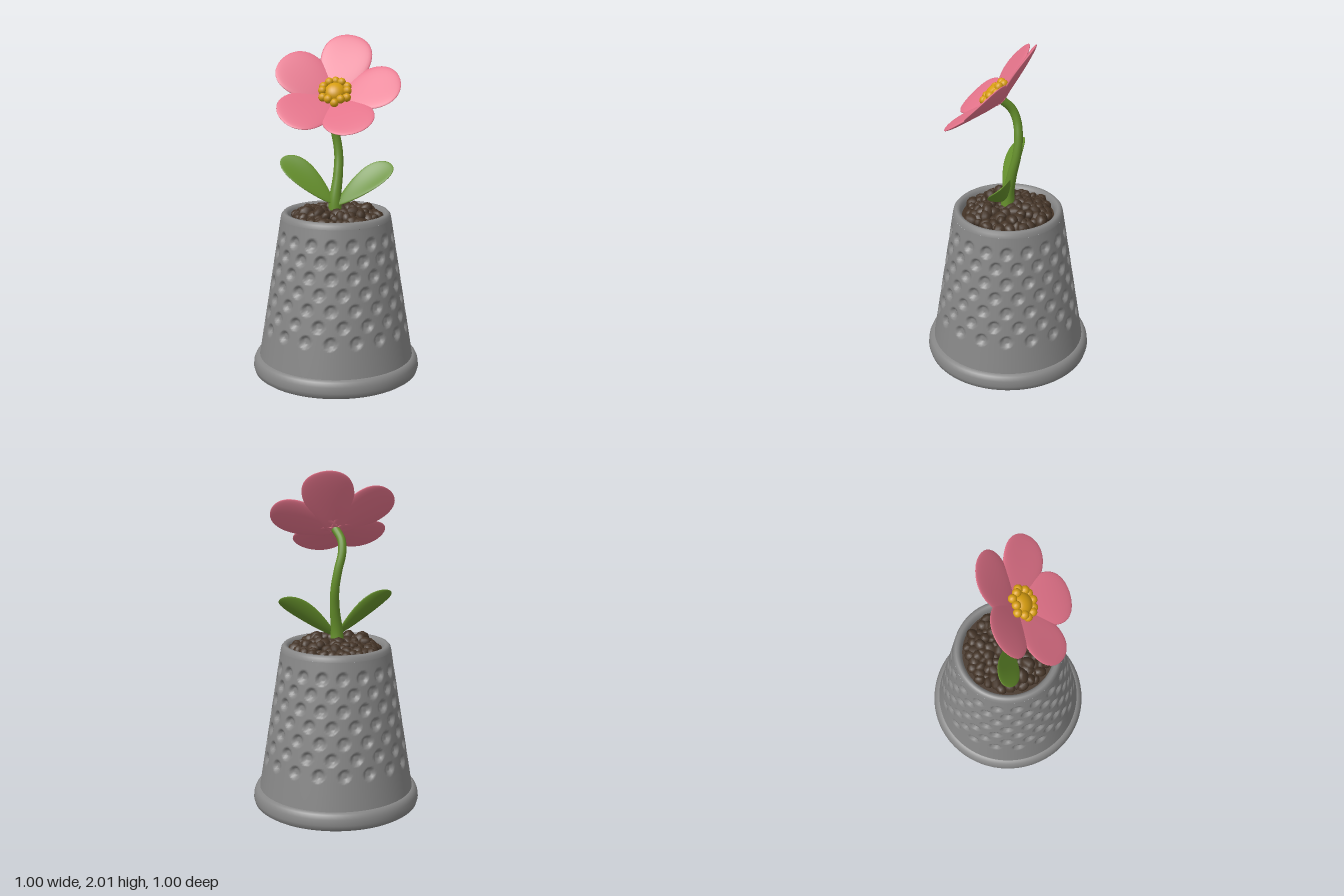
import * as THREE from 'three';
import { mergeVertices } from 'three/addons/utils/BufferGeometryUtils.js';

const paint = (name, color) => {
  const m = new THREE.MeshStandardMaterial({ color });
  m.name = name;
  return m;
};

// Move every vertex by a rule, then weld and smooth the surface
function deform(geometry, rule) {
  const p = geometry.attributes.position;
  const v = new THREE.Vector3();
  for (let i = 0; i < p.count; i++) {
    rule(v.fromBufferAttribute(p, i), i);
    p.setXYZ(i, v.x, v.y, v.z);
  }
  geometry.deleteAttribute('uv');
  geometry.deleteAttribute('normal');
  const welded = mergeVertices(geometry, 1e-5);
  welded.computeVertexNormals();
  return welded;
}

// Thick blade growing along +y, face towards +z
function blade({ length, width, thick, taper, lift, power, cup, start = 0 }) {
  return deform(new THREE.SphereGeometry(1, 32, 24), (v) => {
    const t = (v.y + 1) / 2;
    const side = v.x * (taper + (1.15 - taper) * t);
    v.set(
      side * width / 2,
      start + t * (length - start),
      v.z * thick / 2 + lift * Math.pow(t, power) + cup * side * side
    );
  });
}

export function createModel() {
  const model = new THREE.Group();
  const grey = paint('grey metal', 0x868686);
  const brown = paint('dark soil', 0x433326);
  const green = paint('leaf green', 0x648e2b);
  const pink = paint('petal pink', 0xe4738a);
  const yellow = paint('pollen yellow', 0xd69d10);

  const add = (parent, name, geometry, material) => {
    const mesh = new THREE.Mesh(geometry, material);
    mesh.name = name;
    parent.add(mesh);
    return mesh;
  };
  const lathe = (pts) => new THREE.LatheGeometry(pts.map(([x, y]) => new THREE.Vector2(x, y)), 72);

  // Pot: foot ring, base, dimpled wall and rounded lip
  const pot = new THREE.Group();
  pot.name = 'pot';
  model.add(pot);
  add(pot, 'footRing', lathe([[0.475, 0], [0.492, 0.012], [0.5, 0.04], [0.496, 0.075], [0.485, 0.1], [0.468, 0.108], [0.455, 0.11]]), grey);
  add(pot, 'base', new THREE.CircleGeometry(0.476, 72).rotateX(Math.PI / 2), grey);

  const y0 = 0.1, y1 = 0.95, r0 = 0.463, r1 = 0.327;
  const wall = new THREE.CylinderGeometry(r1, r0, y1 - y0, 252, 90, true).translate(0, (y0 + y1) / 2, 0);
  const rows = 7, rowGap = 0.091, firstRow = 0.31, step = Math.PI * 2 / 18;
  add(pot, 'dimpledWall', deform(wall, (v) => {
    const row = Math.round((v.y - firstRow) / rowGap);
    if (row < 0 || row >= rows) return;
    const r = Math.hypot(v.x, v.z);
    const shift = row % 2 ? step / 2 : 0;
    const a = Math.atan2(v.x, v.z) - shift;
    const across = (a - Math.round(a / step) * step) * r;
    const d = Math.hypot(across, v.y - firstRow - row * rowGap);
    const k = 1 - 0.02 * (1 - THREE.MathUtils.smoothstep(d, 0.022, 0.037)) / r;
    v.x *= k;
    v.z *= k;
  }), grey);
  add(pot, 'lip', lathe([[r1, 0.95], [0.322, 0.972], [0.31, 0.985], [0.295, 0.985], [0.282, 0.972], [0.275, 0.95], [0.268, 0.88]]), grey);

  // Soil: a bed covered with a low heap of clumps
  const soil = new THREE.Group();
  soil.name = 'soil';
  model.add(soil);
  add(soil, 'soilBed', new THREE.CircleGeometry(0.274, 40).rotateX(-Math.PI / 2).translate(0, 0.935, 0), brown);
  let seed = 7;
  const rand = () => (seed = (seed * 16807) % 2147483647) / 2147483647;
  const clump = new THREE.SphereGeometry(1, 9, 7);
  const count = 110;
  for (let i = 0; i < count; i++) {
    const r = 0.245 * Math.sqrt((i + 0.5) / count);
    const a = i * 2.39996;
    const size = 0.026 + 0.018 * rand();
    const heap = r < 0.19 ? 0.04 * rand() : 0;
    const c = add(soil, 'soilClump', clump, brown);
    c.position.set(Math.sin(a) * r, 0.955 + heap, Math.cos(a) * r);
    c.scale.set(size * (0.85 + 0.4 * rand()), size * 0.85, size * (0.85 + 0.4 * rand()));
    c.rotation.set(rand() * 2, rand() * 6, rand() * 2);
  }

  // Stem: curved tube, wider at the foot
  const path = new THREE.CatmullRomCurve3([
    [-0.005, 0.94, 0], [-0.005, 1.06, 0], [0.01, 1.2, -0.025], [0.012, 1.32, -0.052],
    [-0.005, 1.43, -0.06], [-0.03, 1.53, -0.045], [-0.03, 1.6, -0.015], [0, 1.66, 0.035]
  ].map((p) => new THREE.Vector3(...p)));
  const rings = 48, sides = 14;
  const centre = new THREE.Vector3();
  add(model, 'stem', deform(new THREE.TubeGeometry(path, rings, 1, sides), (v, i) => {
    const t = Math.floor(i / (sides + 1)) / rings;
    path.getPointAt(t, centre);
    v.sub(centre).multiplyScalar(0.025 + 0.022 * Math.pow(1 - t, 4)).add(centre);
  }), green);

  // Leaves: one each side, face turned up and forward
  const leaf = blade({ length: 0.4, width: 0.195, thick: 0.03, taper: 0.45, lift: -0.03, power: 2, cup: 0.025 });
  for (const [name, base, tip] of [
    ['leftLeaf', [0.005, 1.03, 0.02], [0.305, 1.27, 0]],
    ['rightLeaf', [-0.015, 1.04, 0.02], [-0.295, 1.3, 0]]
  ]) {
    const from = new THREE.Vector3(...base);
    const along = new THREE.Vector3(...tip).sub(from).normalize();
    const up = new THREE.Vector3(0, 1, 0).addScaledVector(along, -along.y).normalize();
    const face = new THREE.Vector3(0, 0, 1).add(up).addScaledVector(along, 0);
    face.addScaledVector(along, -face.dot(along)).normalize();
    const across = new THREE.Vector3().crossVectors(along, face);
    const mesh = add(model, name, leaf, green);
    mesh.quaternion.setFromRotationMatrix(new THREE.Matrix4().makeBasis(across, along, face));
    mesh.position.copy(from);
  }

  // Flower: shallow cup of five petals, tilted up at 45 degrees
  const flower = new THREE.Group();
  flower.name = 'flower';
  flower.position.set(0, 1.65, 0.03);
  flower.rotation.x = -Math.PI / 4;
  model.add(flower);
  [[77, 0.395], [5, 0.375], [-67, 0.35], [-139, 0.37], [149, 0.375]].forEach(([angle, length]) => {
    const petal = add(flower, 'petal', blade({
      length, width: 0.325, thick: 0.036, taper: 0.6, lift: 0.115, power: 0.85, cup: 0.012, start: -0.02
    }), pink);
    petal.rotation.z = THREE.MathUtils.degToRad(angle - 90);
  });

  // Flower centre: dome ringed with beads
  const dome = add(flower, 'flowerCentre', new THREE.SphereGeometry(0.06, 24, 16), yellow);
  dome.position.z = 0.067;
  dome.scale.z = 0.75;
  const bead = new THREE.SphereGeometry(0.025, 12, 9);
  for (let i = 0; i < 12; i++) {
    const a = i / 12 * Math.PI * 2;
    const r = i % 2 ? 0.079 : 0.071;
    add(flower, 'pollenBead', bead, yellow).position.set(Math.cos(a) * r, Math.sin(a) * r, i % 2 ? 0.07 : 0.082);
  }

  return model;
}
